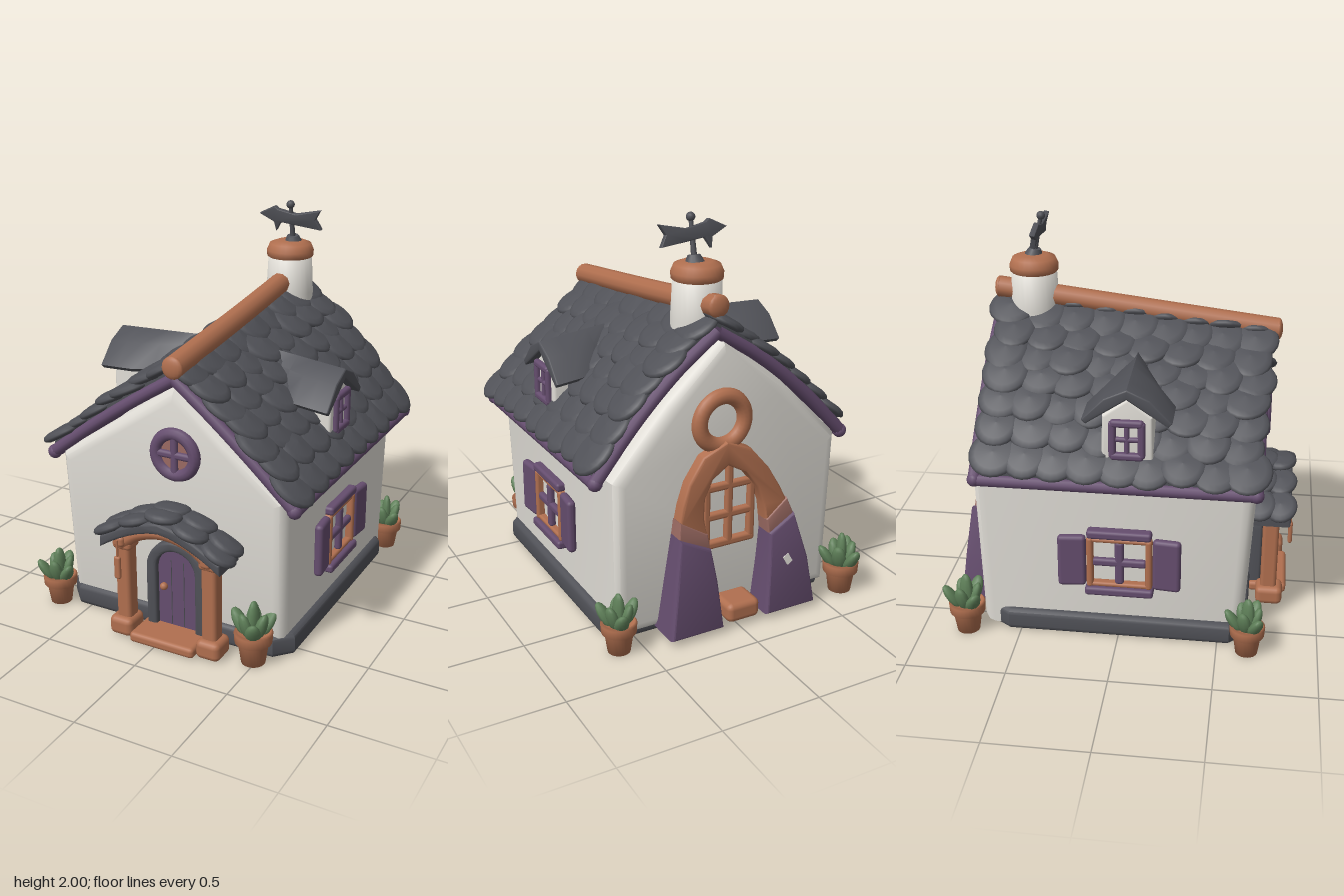
import * as THREE from 'three';
import { mergeGeometries, toCreasedNormals } from 'three/addons/utils/BufferGeometryUtils.js';
import { RoundedBoxGeometry } from 'three/addons/geometries/RoundedBoxGeometry.js';

const material = (name, color) => {
  const m = new THREE.MeshStandardMaterial({ color });
  m.name = name;
  return m;
};
const V = (x, y, z) => new THREE.Vector3(x, y, z);
const lerp = THREE.MathUtils.lerp;

export function createModel() {
  const house = new THREE.Group();
  house.name = 'cottage';
  const plaster = material('plaster', 0xdfdcd5), slate = material('slate', 0x505157);
  const purple = material('purple paint', 0x654d6e), wood = material('copper wood', 0xb06f4f);
  const leafGreen = material('leaf green', 0x5f8059), rosy = material('rosy wood', 0x9a6a62);

  let seed = 7;
  const rnd = () => (seed = (seed * 16807) % 2147483647) / 2147483647 - 0.5;

  const add = (parent, name, geo, mat, x = 0, y = 0, z = 0) => {
    const mesh = new THREE.Mesh(geo, mat);
    mesh.name = name;
    mesh.position.set(x, y, z);
    parent.add(mesh);
    return mesh;
  };
  const group = (name, x, y, z, ry = 0) => {
    const g = new THREE.Group();
    g.name = name;
    g.position.set(x, y, z);
    g.rotation.y = ry;
    house.add(g);
    return g;
  };
  const board = (w, h, d, r = 0.015) => new RoundedBoxGeometry(w, h, d, 2, Math.min(r, w / 2.1, h / 2.1, d / 2.1));
  const rod = (pts, r) => new THREE.TubeGeometry(new THREE.CatmullRomCurve3(pts), 24, r, 10);
  const shapeOf = (pts) => new THREE.Shape(pts.map(([x, y]) => new THREE.Vector2(x, y)));
  const reshape = (geo, rule) => {
    const p = geo.attributes.position, v = V(0, 0, 0);
    for (let i = 0; i < p.count; i++) {
      v.fromBufferAttribute(p, i);
      rule(v);
      p.setXYZ(i, v.x, v.y, v.z);
    }
    geo.computeVertexNormals();
    return geo;
  };
  const extrude = (shape, depth, bevel = 0, rule = () => {}, steps = 1) => toCreasedNormals(reshape(new THREE.ExtrudeGeometry(shape, {
    depth, steps, bevelEnabled: bevel > 0, bevelSize: bevel, bevelThickness: bevel, bevelOffset: -bevel, bevelSegments: 3,
  }), rule), 0.6);

  // Walls: a gabled block whose apex rises toward the back
  const gable = shapeOf([[-0.605, 0.02], [0.605, 0.02], [0.62, 0.84], [0.335, 1.085], [0.05, 1.33], [-0.285, 1.095], [-0.62, 0.86]]);
  add(house, 'walls', extrude(gable, 1.2, 0.06, (v) => {
    const back = 1 - v.z / 1.2, t = THREE.MathUtils.clamp((v.y - 0.85) / 0.48, 0, 1);
    v.y += (t * 0.13 + Math.sin(Math.PI * t) * 0.035) * back;
    v.z += -0.64 + 0.05 * v.y * (1 - 2 * back * 0.7);
  }), plaster);
  const plinth = shapeOf([[-0.64, 0.56], [-0.64, -0.56], [-0.56, -0.645], [0.56, -0.645], [0.64, -0.56], [0.64, 0.58], [0.56, 0.68], [-0.56, 0.68]]);
  add(house, 'plinth', extrude(plinth, 0.06, 0.028).rotateX(-Math.PI / 2), slate, 0, 0.028, 0);

  // Main roof surface: u runs from the left eave (-1) over the ridge (0) to the right eave (1)
  const roofPoint = (u, z, h = 0) => {
    const b = (0.7 - z) / 1.4, a = Math.abs(u), right = u > 0;
    return V(lerp(lerp(0.05, 0.075, b), right ? lerp(0.67, 0.7, b) : -0.65, a),
      lerp(lerp(1.38, 1.51, b), lerp(right ? 0.85 : 0.89, 0.89, b), a) + (0.015 + 0.04 * b) * Math.sin(Math.PI * a) + h, z);
  };
  const slab = (side, h0, h1) => toCreasedNormals(reshape(new THREE.BoxGeometry(1, 1, 1.36, 8, 1, 1),
    (v) => v.copy(roofPoint(v.x + side * 0.5, v.z - 0.015, lerp(h0, h1, v.y + 0.5)))), 0.5);
  const tile = new THREE.LatheGeometry([[0, -0.016], [0.09, -0.018], [0.108, -0.01], [0.113, 0], [0.105, 0.012], [0.08, 0.02], [0, 0.026]]
    .map(([x, y]) => new THREE.Vector2(x, y)), 20);
  const tiles = [];
  const layTile = (p, down, normal, tilt, sx, sz) => {
    const m = new THREE.Matrix4().makeBasis(down, normal, V(0, 0, 0).crossVectors(down, normal)).setPosition(p);
    m.multiply(new THREE.Matrix4().makeRotationZ(tilt)).multiply(new THREE.Matrix4().makeScale(sx, 1.15, sz));
    tiles.push(tile.clone().applyMatrix4(m));
  };
  for (const side of [-1, 1]) {
    add(house, 'roofBoard', slab(side, -0.06, 0.0), purple);
    add(house, 'roofUnderlay', slab(side, 0.0, 0.025), slate);
    for (const z of [0.665, -0.695]) {
      add(house, 'gableTrim', rod([0, 0.33, 0.67, 1].map((u) => roofPoint(u * side, z, -0.025)), 0.032), purple);
      const end = roofPoint(side, z, -0.028);
      add(house, 'trimEnd', new THREE.SphereGeometry(0.036, 12, 8), purple, end.x, end.y, end.z);
    }
    add(house, 'eaveTrim', rod([0.66, 0, -0.69].map((z) => roofPoint(side, z, -0.03)), 0.03), purple);
    for (let row = 0; row < 7; row++) {
      const u = side * (0.085 + row * 0.143), n = row % 2 ? 8 : 9;
      for (let i = 0; i < n; i++) {
        const z = (i - (n - 1) / 2) * (row % 2 ? 0.169 : 0.153) + rnd() * 0.025;
        const down = roofPoint(u + side * 0.02, z).sub(roofPoint(u - side * 0.02, z));
        down.z = 0;
        down.normalize();
        const normal = V(-down.y * side, down.x * side, 0);
        layTile(roofPoint(u, z, 0.045 + rnd() * 0.015), down, normal, (row ? 0.14 : 0.05) + rnd() * 0.07, 1.1 + rnd() * 0.15, 1.04 + rnd() * 0.16);
      }
    }
  }
  add(house, 'roofTiles', mergeGeometries(tiles), slate);
  add(house, 'ridgeBeam', rod([V(0.08, 1.435, 0.73), V(0.08, 1.52, 0), V(0.07, 1.605, -0.7)], 0.055), wood);
  for (const [y, z] of [[1.435, 0.73], [1.605, -0.7]]) {
    add(house, 'beamEnd', new THREE.SphereGeometry(0.055, 16, 10).scale(1, 1, 0.4), wood, z > 0 ? 0.08 : 0.07, y, z);
  }

  // Chimney and weathervane
  const lathe = (pts) => new THREE.LatheGeometry(pts.map(([x, y]) => new THREE.Vector2(x, y)), 28);
  add(house, 'chimney', lathe([[0.125, 0], [0.125, 0.22], [0.115, 0.42], [0, 0.42]]), plaster, 0.08, 1.29, -0.52);
  add(house, 'chimneyCap', lathe([[0, 0], [0.1, 0], [0.123, 0.02], [0.125, 0.05], [0.11, 0.085], [0.07, 0.1], [0, 0.1]]), wood, 0.08, 1.68, -0.52);
  const vane = group('weathervane', 0.095, 1.78, -0.52);
  vane.rotation.x = 0.2;
  add(vane, 'vaneFoot', new THREE.CylinderGeometry(0.03, 0.048, 0.035, 14), slate, 0, 0.01, 0);
  add(vane, 'vanePole', new THREE.CylinderGeometry(0.01, 0.015, 0.21, 10), slate, 0, 0.1, 0);
  add(vane, 'vaneBall', new THREE.SphereGeometry(0.022, 12, 8), slate, 0, 0.2, 0);
  add(vane, 'vaneArrow', extrude(shapeOf([[-0.18, 0.14], [-0.09, 0.185], [-0.07, 0.17], [0.03, 0.15], [0.17, 0.18], [0.14, 0.13],
    [0.17, 0.075], [0.03, 0.09], [-0.06, 0.1], [-0.09, 0.05], [-0.1, 0.1]]), 0.02, 0.004), slate, 0, 0, -0.01);

  // Round gable window
  const round = group('roundWindow', 0.06, 0.99, 0.675);
  add(round, 'roundFrame', new THREE.TorusGeometry(0.104, 0.031, 10, 32), purple, 0, 0, 0.01);
  add(round, 'roundPane', new THREE.CylinderGeometry(0.1, 0.1, 0.008, 28).rotateX(Math.PI / 2), rosy, 0, 0, 0.012);
  add(round, 'roundBarUpright', board(0.038, 0.21, 0.035), purple, 0, 0, 0.016);
  add(round, 'roundBarAcross', board(0.21, 0.038, 0.035), purple, 0, 0, 0.016);

  // Arched front door: a round-topped band around the leaf
  const archPoints = (w, h) => {
    const arc = [...Array(17).keys()].map((i) => [w * Math.cos(i * Math.PI / 16), h - w + w * Math.sin(i * Math.PI / 16)]);
    return [[w, 0], ...arc, [-w, 0]];
  };
  const door = group('frontDoor', 0.055, 0.04, 0.63);
  add(door, 'doorFrame', extrude(shapeOf([...archPoints(0.165, 0.49), ...archPoints(0.108, 0.438).reverse()]), 0.06, 0.014), slate);
  add(door, 'doorLeaf', extrude(shapeOf(archPoints(0.12, 0.45)), 0.045), purple);
  for (const x of [-0.035, 0.035]) add(door, 'doorGroove', board(0.005, 0.36, 0.006), slate, x, 0.2, 0.044);
  add(door, 'doorKnob', new THREE.SphereGeometry(0.02, 12, 8), wood, -0.072, 0.23, 0.058);

  // Porch
  const porch = group('porch', 0.045, 0, 0);
  for (const s of [-1, 1]) {
    add(porch, 'porchPost', board(0.08, 0.46, 0.085, 0.02), wood, s * 0.24, 0.28, 0.745);
    add(porch, 'postFoot', board(0.13, 0.1, 0.14, 0.03), wood, s * 0.245, 0.055, 0.75);
    add(porch, 'postCap', board(0.105, 0.05, 0.1, 0.02), wood, s * 0.24, 0.5, 0.745);
    add(porch, 'porchRail', board(0.06, 0.06, 0.2, 0.02), wood, s * 0.24, 0.53, 0.72);
  }
  add(porch, 'porchArch', rod([V(-0.25, 0.5, 0.77), V(-0.15, 0.575, 0.77), V(0, 0.61, 0.77), V(0.15, 0.575, 0.77), V(0.25, 0.5, 0.77)], 0.034), wood);
  add(porch, 'doorstep', board(0.36, 0.055, 0.2, 0.02), wood, 0, 0.03, 0.74);
  add(porch, 'hangingSign', board(0.035, 0.12, 0.022), wood, -0.225, 0.41, 0.845);
  add(porch, 'signHook', new THREE.CylinderGeometry(0.006, 0.006, 0.09, 6), wood, -0.225, 0.51, 0.845);
  const bow = (s) => [0.33 * s, 0.69 - 0.14 * Math.pow(Math.abs(s), 1.6)];
  const steps = [...Array(13).keys()].map((i) => i / 6 - 1);
  const canopy = shapeOf([...steps.map(bow), ...steps.map(bow).reverse().map(([x, y]) => [x, y - 0.055])]);
  add(porch, 'porchRoof', extrude(canopy, 0.21, 0.012), slate, 0, 0, 0.62);
  tiles.length = 0;
  for (const z of [0.69, 0.775]) {
    for (const s of [-0.88, -0.44, 0, 0.44, 0.88]) {
      const [x, y] = bow(s), a = -Math.sign(s) * 0.5 * Math.pow(Math.abs(s), 0.7);
      const normal = V(-Math.sin(a), Math.cos(a), 0);
      layTile(V(x, y + 0.02 + rnd() * 0.02 - (z > 0.7 ? 0.012 : 0), z + rnd() * 0.03), V(0, 0, 1), normal, 0.12, 0.74, 0.85);
    }
  }
  add(porch, 'porchTiles', mergeGeometries(tiles), slate);

  for (const s of [-1, 1]) {
    // Shuttered side window
    const win = group('sideWindow', s > 0 ? 0.61 : -0.62, 0.44, 0.01, s * Math.PI / 2);
    for (const t of [-1, 1]) {
      add(win, 'shutter', board(0.14, 0.28, 0.045, 0.02), purple, t * 0.235, 0.005, 0.025).rotation.y = -t * 0.1;
      add(win, 'windowJamb', board(0.034, 0.28, 0.05), wood, t * 0.146, 0, 0.015);
      add(win, 'windowRail', board(0.3, 0.025, 0.045), wood, 0, t * 0.125, 0.012);
    }
    add(win, 'windowLintel', board(0.32, 0.045, 0.06), purple, 0, 0.16, 0.018);
    add(win, 'windowSill', board(0.34, 0.045, 0.07), purple, 0, -0.155, 0.022);
    add(win, 'windowMullion', board(0.045, 0.24, 0.035), purple, 0, 0, 0.016);
    add(win, 'windowCrossbar', board(0.27, 0.042, 0.035), purple, 0, 0, 0.016);

    // Dormer: its roof narrows as it sinks into the main roof
    const dormer = group('dormer', s > 0 ? 0.6 : -0.585, 0, 0.045, s * Math.PI / 2);
    const lift = s > 0 ? 0 : 0.045, depth = s > 0 ? 0.42 : 0.46, rise = s > 0 ? 0.05 : 0.015;
    add(dormer, 'dormerWalls', extrude(shapeOf([[-0.125, 0.94], [0.125, 0.94], [0.12, 1.17 + lift], [0, 1.26 + lift], [-0.12, 1.17 + lift]]),
      0.22, 0.015), plaster, 0, 0, -0.21);
    const chevron = shapeOf([[-0.215, 1.155], [-0.195, 1.135], [0, 1.265], [0.195, 1.135], [0.215, 1.155], [0.11, 1.265], [0, 1.315], [-0.11, 1.265]]);
    add(dormer, 'dormerRoof', extrude(chevron, depth, 0.008, (v) => {
      const inward = THREE.MathUtils.clamp(1 - v.z / depth, 0, 1);
      v.x *= 1 - 0.7 * Math.max(0, inward - 0.4) / 0.6;
      v.y += inward * rise;
    }, 5), slate, 0, lift, 0.04 - depth);
    for (const t of [-1, 1]) {
      add(dormer, 'dormerJamb', board(0.036, 0.19, 0.045), purple, t * 0.07, 1.1, 0.025);
      add(dormer, 'dormerRail', board(0.16, 0.038, 0.05), purple, 0, 1.1 + t * 0.085, 0.025);
    }
    add(dormer, 'dormerMullion', board(0.026, 0.17, 0.035), purple, 0, 1.1, 0.022);
    add(dormer, 'dormerCrossbar', board(0.13, 0.026, 0.035), purple, 0, 1.1, 0.022);
  }

  // Keyhole window on the back: flared legs, an arch leaning to one side, ring and glazing bars
  const rear = group('rearWindow', -0.02, 0, -0.665, Math.PI);
  const lean = (v) => {
    v.z *= v.y < 0.6 ? lerp(1.75, 1.2, Math.max(0, v.y) / 0.6) : 1.2;
    v.x -= 0.075 * THREE.MathUtils.smoothstep(v.y, 0.3, 1.0);
  };
  const leg = [[0.12, 0.03], [0.41, 0.03], [0.375, 0.28], [0.32, 0.53], [0.165, 0.45], [0.145, 0.28]];
  const legTop = [[0.165, 0.44], [0.322, 0.52], [0.298, 0.61], [0.165, 0.52]];
  const mirrorLeg = (pts, s) => shapeOf((s > 0 ? pts : [...pts].reverse()).map(([x, y]) => [s * x, y]));
  for (const s of [-1, 1]) {
    add(rear, 'flaredLeg', extrude(mirrorLeg(leg, s), 0.1, 0.015, lean), purple);
    add(rear, 'legTop', extrude(mirrorLeg(legTop, s), 0.095, 0.008, lean), rosy);
    add(rear, 'glazingSide', board(0.04, 0.36, 0.07), wood, s * 0.125 - 0.03, 0.6, 0.04);
  }
  add(rear, 'legInlay', new THREE.BoxGeometry(0.035, 0.05, 0.008), plaster, 0.25, 0.3, 0.17).rotation.set(-0.11, 0, 0.5);
  const outer = [[0.3, 0.59], [0.27, 0.68], [0.22, 0.79], [0.13, 0.91], [0, 0.965]];
  const inner = [[0.165, 0.51], [0.165, 0.6], [0.145, 0.7], [0.09, 0.79], [0, 0.845]];
  const mirror = (pts) => pts.slice(0, -1).reverse().map(([x, y]) => [-x, y]);
  add(rear, 'rearArch', extrude(shapeOf([...outer, ...mirror(outer), ...[...inner, ...mirror(inner)].reverse()]), 0.085, 0.012, lean), wood);
  add(rear, 'rearRing', new THREE.TorusGeometry(0.122, 0.04, 12, 32), wood, -0.08, 1.06, 0.065);
  add(rear, 'glazingUpright', board(0.04, 0.46, 0.07), wood, -0.03, 0.63, 0.04);
  for (const y of [0.42, 0.57, 0.72]) add(rear, 'glazingBar', board(0.29, 0.042, 0.07), wood, -0.03, y, 0.04);
  add(rear, 'rearStep', board(0.18, 0.1, 0.17, 0.03), wood, 0, 0.08, 0.1);

  // Potted plants at the corners
  const potProfile = [[0, 0], [0.055, 0], [0.07, 0.1], [0.085, 0.105], [0.088, 0.15], [0.078, 0.16], [0.068, 0.14], [0, 0.135]];
  for (const [x, z, size] of [[-0.675, 0.65, 1], [0.485, 0.7, 1.08], [-0.65, -0.77, 1.05], [0.615, -0.745, 1]]) {
    const plant = group('pottedPlant', x, 0, z, x * 3);
    plant.scale.setScalar(size);
    add(plant, 'pot', lathe(potProfile), wood);
    for (let i = 0; i < 7; i++) {
      const out = i ? 0.3 + (i % 2) * 0.25 : 0, a = i * 1.05;
      const leaf = new THREE.SphereGeometry(1, 10, 8).scale(0.036, 0.075, 0.026).translate(0, 0.06, 0).rotateX(out).rotateY(a);
      add(plant, 'leaf', leaf, leafGreen, Math.sin(a) * out * 0.07, 0.13, Math.cos(a) * out * 0.07).scale.y = i ? 0.95 : 1.3;
    }
  }
  return house;
}
